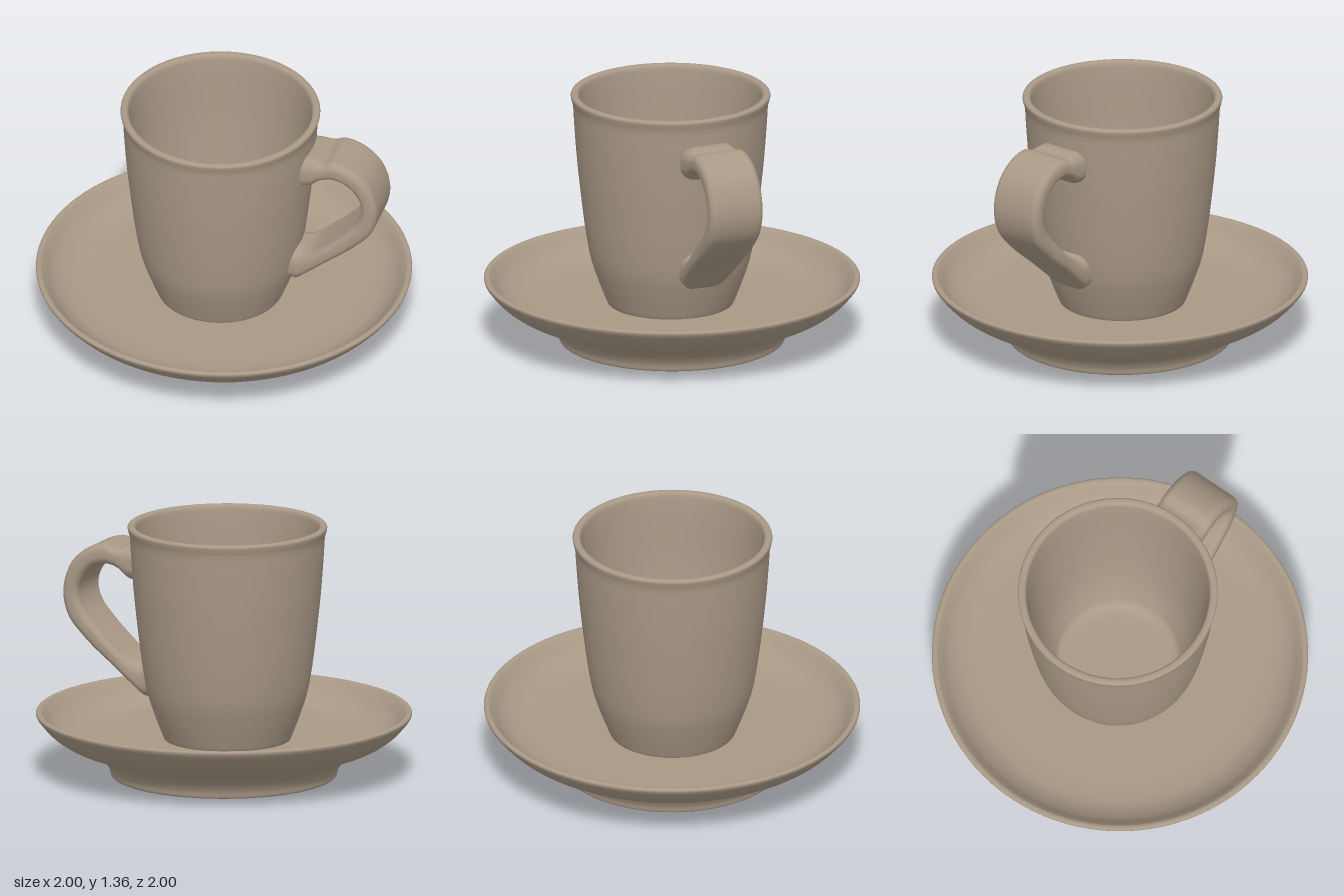
import * as THREE from 'three';

const CUP_X = -0.02;

// Smooth curve through a few [x, y] points
const smooth = (pts, steps) =>
  new THREE.CatmullRomCurve3(pts.map(([x, y]) => new THREE.Vector3(x, y, 0)), false, 'centripetal').getPoints(steps);

function turned(name, profile, material) {
  const pts = smooth(profile, profile.length * 6).map(p => new THREE.Vector2(Math.max(0, p.x), p.y));
  const mesh = new THREE.Mesh(new THREE.LatheGeometry(pts, 96), material);
  mesh.name = name;
  return mesh;
}

// Ribbon with rounded edges, swept between an outer and an inner outline
function handleGeometry() {
  const steps = 84, arc = 6;
  const outer = smooth([[0.47, 1.215], [0.52, 1.215], [0.58, 1.2], [0.64, 1.22], [0.75, 1.185], [0.84, 1.1],
    [0.885, 0.95], [0.855, 0.81], [0.75, 0.69], [0.6, 0.565], [0.48, 0.455], [0.42, 0.4], [0.38, 0.4]], steps);
  const inner = smooth([[0.47, 1.03], [0.51, 1.04], [0.56, 1.09], [0.63, 1.11], [0.71, 1.09], [0.77, 1.03],
    [0.797, 0.95], [0.775, 0.865], [0.7, 0.77], [0.59, 0.665], [0.51, 0.607], [0.46, 0.595], [0.42, 0.6]], steps);
  const positions = [], index = [], ring = 4 * (arc + 1);
  for (let i = 0; i <= steps; i++) {
    const mid = outer[i].clone().add(inner[i]).multiplyScalar(0.5);
    const n = outer[i].clone().sub(inner[i]);
    const half = n.length() / 2, r = half * 0.8;
    n.normalize();
    const halfWidth = 0.153 - 0.025 * THREE.MathUtils.smoothstep(i / steps, 0.7, 1);
    for (let c = 0; c < 4; c++) for (let k = 0; k <= arc; k++) {
      const a = (c + k / arc) * Math.PI / 2;
      const up = (c === 0 || c === 3 ? 1 : -1) * (half - r) + r * Math.cos(a);
      const z = (c < 2 ? 1 : -1) * (halfWidth - r) + r * Math.sin(a);
      let x = mid.x + n.x * up;
      const y = mid.y + n.y * up;
      // the two ends follow the round cup wall and stay buried in it
      if (i === 0 || i === steps) {
        const wall = (i === 0 ? 0.5 + 0.08 * (y - 1.03) : 0.41 + 0.22 * (y - 0.4)) - 0.015;
        x = CUP_X + Math.sqrt(wall * wall - z * z);
      }
      positions.push(x, y, z);
    }
  }
  for (let i = 0; i < steps; i++) for (let j = 0; j < ring; j++) {
    const a = i * ring + j, b = i * ring + (j + 1) % ring;
    index.push(a, b, b + ring, a, b + ring, a + ring);
  }
  const g = new THREE.BufferGeometry();
  g.setAttribute('position', new THREE.Float32BufferAttribute(positions, 3));
  g.setIndex(index);
  g.computeVertexNormals();
  return g;
}

export function createModel() {
  const group = new THREE.Group();
  group.name = 'cupAndSaucer';
  const clay = new THREE.MeshStandardMaterial({ color: 0xa99986 });
  clay.name = 'beige ceramic';

  // Saucer: recessed base, foot ring, flared underside, rim, shallow well
  group.add(turned('saucer', [
    [0, 0.05], [0.3, 0.05], [0.54, 0.05], [0.555, 0.045], [0.575, 0.008], [0.583, 0], [0.595, 0], [0.601, 0.006],
    [0.61, 0.04], [0.645, 0.092], [0.72, 0.14], [0.83, 0.178], [0.92, 0.235], [0.985, 0.305], [0.998, 0.325],
    [1, 0.337], [0.993, 0.345], [0.975, 0.344], [0.955, 0.325], [0.91, 0.275], [0.84, 0.23], [0.76, 0.21],
    [0.6, 0.203], [0.3, 0.2], [0, 0.2]], clay));

  // Cup: outer wall, rounded lip, inner wall and floor
  const cup = turned('cup', [
    [0, 0.19], [0.2, 0.19], [0.325, 0.19], [0.335, 0.2], [0.36, 0.26], [0.39, 0.34], [0.425, 0.45], [0.452, 0.6],
    [0.477, 0.8], [0.498, 1.0], [0.513, 1.2], [0.52, 1.3], [0.529, 1.335], [0.531, 1.35], [0.524, 1.36],
    [0.5, 1.36], [0.49, 1.35], [0.482, 1.3], [0.473, 1.2], [0.458, 1.0], [0.437, 0.8], [0.412, 0.6],
    [0.382, 0.45], [0.345, 0.34], [0.32, 0.29], [0.28, 0.27], [0.15, 0.265], [0, 0.265]], clay);
  cup.position.x = CUP_X;
  group.add(cup);

  const handle = new THREE.Mesh(handleGeometry(), clay);
  handle.name = 'handle';
  group.add(handle);
  return group;
}
